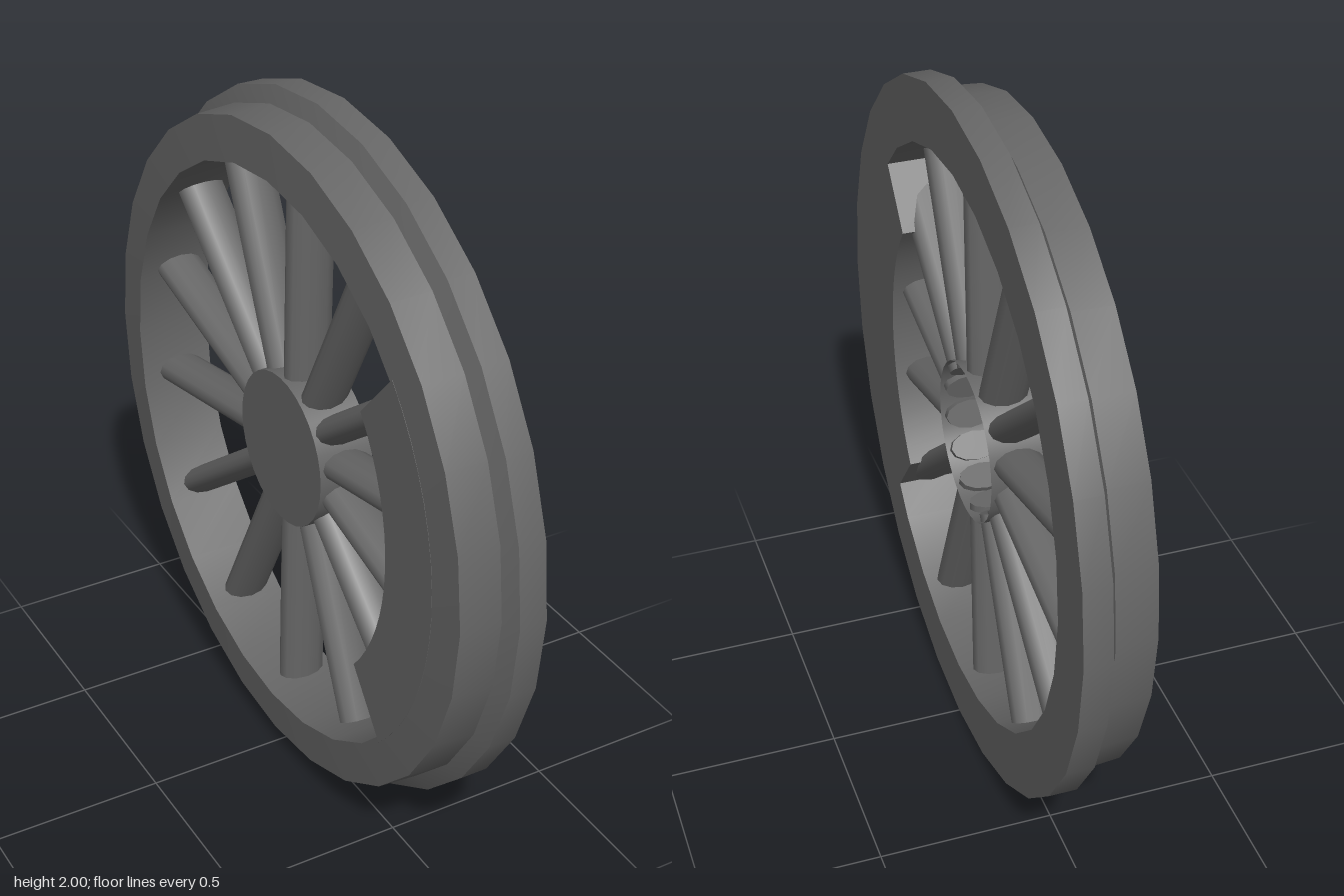
import * as THREE from 'three';
import { toCreasedNormals } from 'three/addons/utils/BufferGeometryUtils.js';

const HUB_Z = -0.02;
const SPOKES = 14;
const rad = THREE.MathUtils.degToRad;

export function createModel() {
  const model = new THREE.Group();
  const steel = new THREE.MeshStandardMaterial({ color: 0x666666, side: THREE.DoubleSide });
  steel.name = 'dark steel';

  function add(name, geometry, parent = model) {
    const mesh = new THREE.Mesh(geometry, steel);
    mesh.name = name;
    parent.add(mesh);
    return mesh;
  }

  // Rim: tapered tread and raised flange, profile as (radius, x)
  const profile = [
    [0.82, -0.114], [0.945, -0.105], [0.953, 0.01], [1, 0.032],
    [1, 0.11], [0.82, 0.11], [0.82, -0.114],
  ].map(([r, x]) => new THREE.Vector2(r, x));
  const rim = new THREE.LatheGeometry(profile, 28).rotateZ(-Math.PI / 2);
  add('rim', toCreasedNormals(rim, rad(20))).position.y = 1;

  // Counterweight: thick crescent segment joined to the rim
  const segment = new THREE.Shape();
  segment.absarc(HUB_Z, 0, 0.63, rad(38), rad(-40), true);
  segment.absarc(0, 0, 0.83, rad(-44), rad(41.5), false);
  segment.closePath();
  const weight = new THREE.ExtrudeGeometry(segment, { depth: 0.224, bevelEnabled: false, curveSegments: 8 });
  weight.rotateY(-Math.PI / 2).translate(0.11, 0, 0);
  add('counterweight', toCreasedNormals(weight, rad(25))).position.y = 1;

  // Hub: cup open on the flange side, closed by a disc on the other
  const hub = new THREE.Group();
  hub.name = 'hub';
  hub.position.set(0, 1, HUB_Z);
  model.add(hub);
  const wall = new THREE.CylinderGeometry(0.228, 0.224, 0.16, 32, 1, true);
  add('hubWall', wall.rotateZ(-Math.PI / 2).translate(0.01, 0, 0), hub);
  const cap = new THREE.CircleGeometry(0.224, 32).rotateY(-Math.PI / 2);
  add('hubCap', cap.translate(-0.07, 0, 0), hub);

  // Spokes: oval rods, wider along the axle
  const spokes = new THREE.Group();
  spokes.name = 'spokes';
  spokes.position.copy(hub.position);
  model.add(spokes);
  const inner = 0.205, outer = 0.805;
  const rod = new THREE.CylinderGeometry(0.042, 0.042, outer - inner, 12);
  rod.scale(1.67, 1, 1).translate(0.01, (inner + outer) / 2, 0);
  for (let i = 0; i < SPOKES; i++) {
    add('spoke', rod, spokes).rotation.x = rad(2) + (i * 2 * Math.PI) / SPOKES;
  }

  return model;
}
